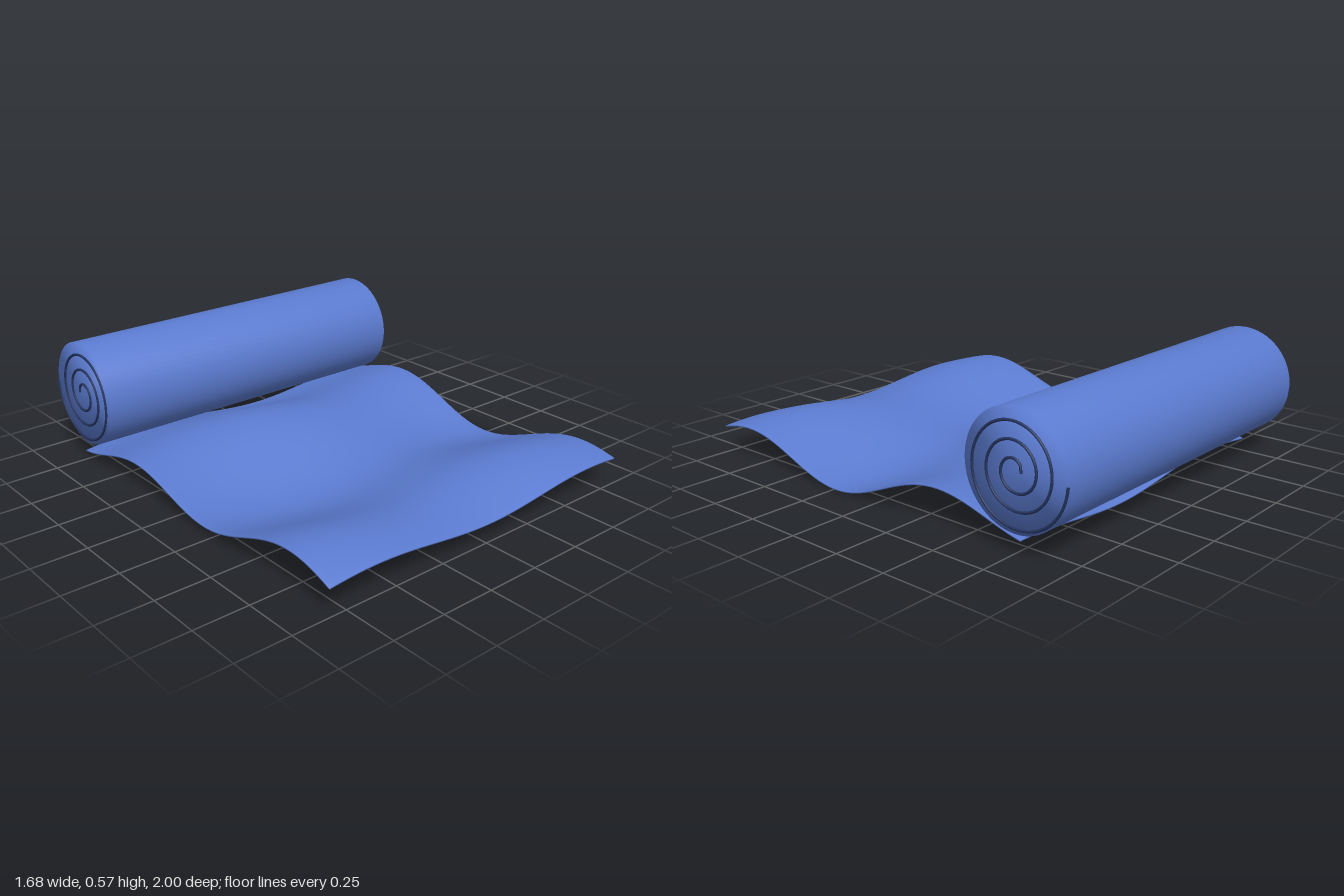
import * as THREE from 'three';
import { mergeVertices } from 'three/addons/utils/BufferGeometryUtils.js';

const WIDTH = 1.66;
const ROLL = { y: 0.33, z: -0.753, r: 0.244 };

// Weld all corners so the normals blend softly across every edge
function soften(geometry) {
  geometry.deleteAttribute('normal');
  geometry.deleteAttribute('uv');
  const welded = mergeVertices(geometry, 1e-4);
  welded.computeVertexNormals();
  return welded;
}

// Height of the rippled sheet
function ripple(x, z) {
  return 0.094 + 0.0615 * Math.cos(5.71 * (z - 0.78)) + 0.025 * Math.cos(5 * (x - 0.03 - 0.62 * z));
}

// Spiral that winds outward through three turns
class Spiral extends THREE.Curve {
  getPoint(t, target = new THREE.Vector3()) {
    const s = Math.sqrt(t);
    const a = s * Math.PI * 6;
    const r = 0.03 + 0.211 * s;
    return target.set(0, r * Math.sin(a), -r * Math.cos(a));
  }
}

export function createModel() {
  const group = new THREE.Group();
  const cloth = new THREE.MeshStandardMaterial({ color: 0x5b7bd0 });
  cloth.name = 'blue mat';
  const seam = new THREE.MeshStandardMaterial({ color: 0x24345f });
  seam.name = 'dark blue seam';

  function add(name, geometry, material) {
    const mesh = new THREE.Mesh(geometry, material);
    mesh.name = name;
    group.add(mesh);
    return mesh;
  }

  // Unrolled sheet: a thin slab bent along the ripple
  const slab = new THREE.BoxGeometry(WIDTH, 0.006, 1.78, 60, 1, 60);
  slab.translate(0, 0, 0.11);
  const p = slab.attributes.position;
  for (let i = 0; i < p.count; i++) {
    p.setY(i, p.getY(i) + ripple(p.getX(i), p.getZ(i)));
  }
  add('unrolledSheet', soften(slab), cloth);

  // Rolled part
  const roll = new THREE.CylinderGeometry(ROLL.r, ROLL.r, WIDTH, 64, 1);
  roll.rotateZ(Math.PI / 2);
  add('roll', soften(roll), cloth).position.set(0, ROLL.y, ROLL.z);

  // Spiral seams on both ends
  const coil = new THREE.TubeGeometry(new Spiral(), 180, 0.006, 8);
  for (const side of [-1, 1]) {
    add(side > 0 ? 'leftSpiral' : 'rightSpiral', coil, seam)
      .position.set(side * (WIDTH / 2 + 0.002), ROLL.y, ROLL.z);
  }
  return group;
}
